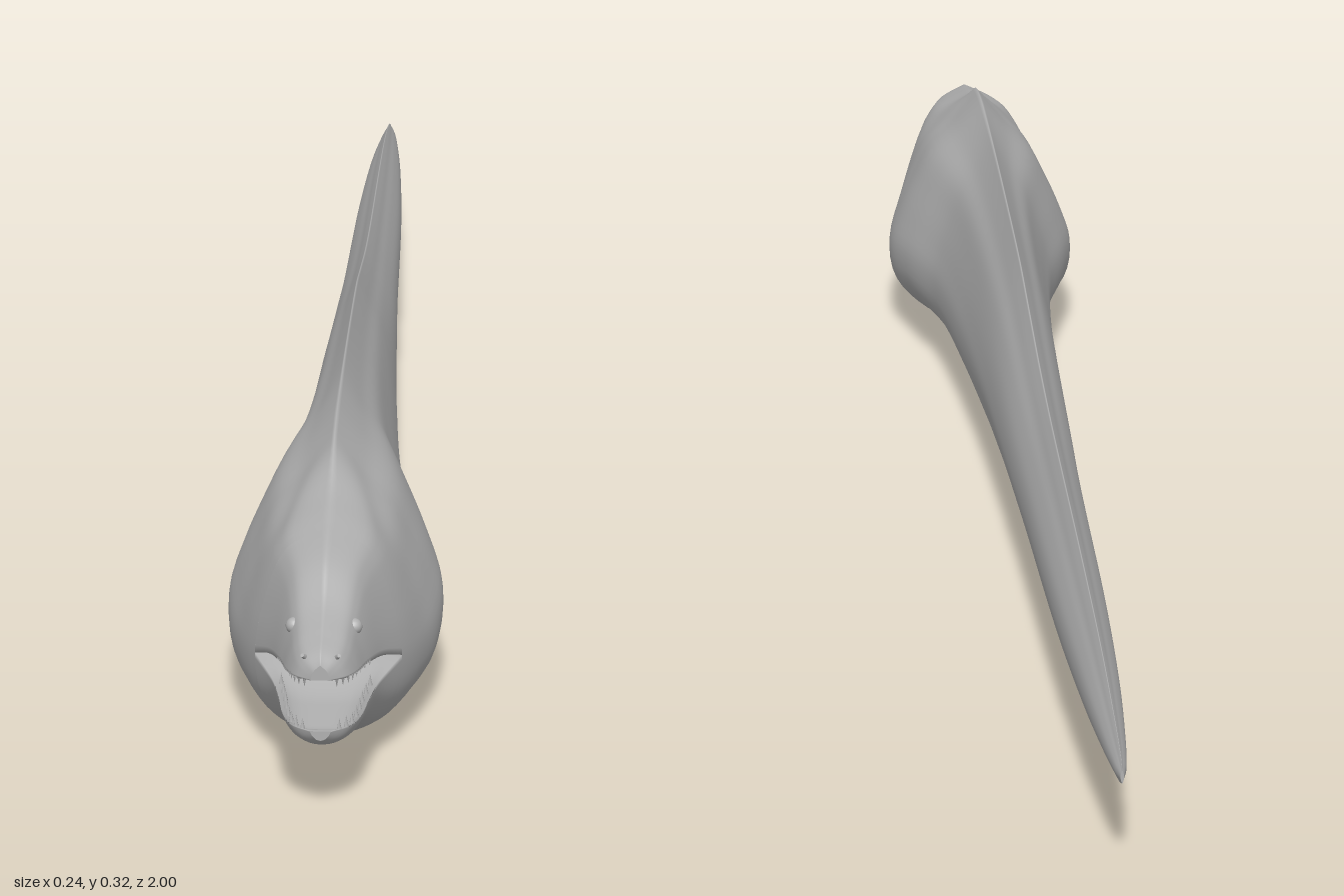
import * as THREE from 'three';

// Silhouette stations: z, belly height, back height, half width
const BODY = [
  [-1, .117, .133, .002], [-.985, .111, .143, .006], [-.93, .1, .158, .012], [-.8, .08, .183, .021],
  [-.6, .06, .205, .029], [-.3, .042, .23, .035], [-.15, .04, .249, .04], [0, .036, .277, .045],
  [.1, .035, .295, .049], [.3, .032, .313, .06], [.45, .03, .322, .076], [.55, .026, .325, .104],
  [.62, .009, .325, .118], [.69, .001, .315, .115], [.75, .011, .288, .102], [.8, .022, .276, .087],
  [.87, .055, .258, .06], [.92, .072, .225, .049], [.96, .083, .209, .043], [.985, .092, .2, .033],
  [1, .103, .189, .014],
];
// Mouth opening: z, lower lip height, upper lip height
const MOUTH = [[.82, .125, .125], [.86, .12, .142], [.9, .118, .153], [.95, .116, .163], [1, .114, .172]];

// Relative widths of a cross-section, from belly to back
const T = [0, .02, .09, .21, .36, .5, .64, .77, .86, .93, 1];
const TRUNK = [0, .25, .64, .94, 1, .89, .73, .55, .31, .15, 0];
const HEAD = [0, .35, .7, .93, 1, .97, .88, .76, .64, .45, 0];
const TAIL = [0, .16, .32, .62, .93, 1, .9, .62, .36, .19, 0];

// Smooth interpolation of column k of a table at z
function sample(table, z, k) {
  const n = table.length;
  let i = 0;
  while (i < n - 2 && z > table[i + 1][0]) i++;
  const slope = (j) => {
    const a = table[Math.max(j - 1, 0)], b = table[Math.min(j + 1, n - 1)];
    return (b[k] - a[k]) / (b[0] - a[0]);
  };
  const p = table[i], q = table[i + 1], h = q[0] - p[0], s = (z - p[0]) / h;
  const s2 = s * s, s3 = s2 * s;
  return (2 * s3 - 3 * s2 + 1) * p[k] + (s3 - 2 * s2 + s) * h * slope(i)
    + (3 * s2 - 2 * s3) * q[k] + (s3 - s2) * h * slope(i + 1);
}

// Half outline at z as a curve from belly to back
function outline(z) {
  const [lo, hi, w] = [1, 2, 3].map((k) => sample(BODY, z, k));
  const head = THREE.MathUtils.smoothstep(z, .66, .82);
  const tail = 1 - THREE.MathUtils.smoothstep(z, -.4, .4);
  return new THREE.SplineCurve(T.map((t, i) => new THREE.Vector2(
    w * (TRUNK[i] + (HEAD[i] - TRUNK[i]) * head + (TAIL[i] - TRUNK[i]) * tail),
    lo + (hi - lo) * t)));
}

// Curve parameter at which the outline reaches height y
function findHeight(curve, y) {
  let a = 0, b = 1;
  for (let i = 0; i < 24; i++) {
    const m = (a + b) / 2;
    if (curve.getPoint(m).y < y) a = m; else b = m;
  }
  return a;
}

function lip(z, upper) {
  const curve = outline(z);
  return curve.getPoint(findHeight(curve, sample(MOUTH, z, upper ? 2 : 1)));
}

function arc(curve, u0, u1, n) {
  return Array.from({ length: n + 1 }, (_, i) => curve.getPoint(u0 + (u1 - u0) * i / n));
}

// Half section of a jaw: outer skin plus a hollowed mouth surface
function jawSection(z, upper) {
  const curve = outline(z), edge = lip(z, upper);
  const u = findHeight(curve, edge.y);
  const hollow = .016 * THREE.MathUtils.smoothstep(z, .82, .9) * (1 - THREE.MathUtils.smoothstep(z, .96, 1));
  const inner = [];
  for (let i = 0; i < 6; i++) {
    const s = i / 6;
    inner.push(new THREE.Vector2(edge.x * s, edge.y + (upper ? 1 : -1) * hollow * (1 - s ** 4)));
  }
  return upper ? [...inner, ...arc(curve, u, 1, 24)] : [...arc(curve, 0, u, 24), ...inner.reverse()];
}

// Skin over mirrored half sections, with closed ends
function loft(zs, section) {
  const pos = [], index = [];
  let n = 0;
  const rings = zs.map((z) => {
    const half = section(z);
    const other = half.slice(1, -1).reverse().map((p) => new THREE.Vector2(-p.x, p.y));
    const ring = [...half, ...other].map((p) => [p.x, p.y, z]);
    n = ring.length;
    ring.forEach((p) => pos.push(...p));
    return ring;
  });
  for (let i = 0; i < zs.length - 1; i++) {
    for (let j = 0; j < n; j++) {
      const a = i * n + j, b = i * n + (j + 1) % n;
      index.push(a, b, a + n, b, b + n, a + n);
    }
  }
  [rings[0], rings[rings.length - 1]].forEach((ring, end) => {
    const base = pos.length / 3;
    ring.forEach((p) => pos.push(...p));
    const ys = ring.map((p) => p[1]);
    pos.push(0, (Math.min(...ys) + Math.max(...ys)) / 2, ring[0][2]);
    for (let j = 0; j < n; j++) {
      const a = base + j, b = base + (j + 1) % n;
      index.push(base + n, end ? a : b, end ? b : a);
    }
  });
  const geo = new THREE.BufferGeometry();
  geo.setAttribute('position', new THREE.Float32BufferAttribute(pos, 3));
  geo.setIndex(index);
  geo.computeVertexNormals();
  return geo;
}

const range = (a, b, n, ease = (s) => s) => Array.from({ length: n + 1 }, (_, i) => a + (b - a) * ease(i / n));

export function createModel() {
  const model = new THREE.Group();
  model.name = 'eel';
  const skin = new THREE.MeshStandardMaterial({ color: 0xb0b0b0 });
  skin.name = 'grey skin';
  const add = (name, geo, parent = model) => {
    const mesh = new THREE.Mesh(geo, skin);
    mesh.name = name;
    parent.add(mesh);
    return mesh;
  };

  // Trunk and tail with the fin ridge
  add('body', loft(range(-1, .82, 130), (z) => arc(outline(z), 0, 1, 40)));

  // Jaws, with closer sections toward the snout tip
  const jawZ = range(.82, 1, 28, (s) => 1 - (1 - s) ** 1.5);
  add('upperJaw', loft(jawZ, (z) => jawSection(z, true)));
  add('lowerJaw', loft(jawZ, (z) => jawSection(z, false)));

  // Rows of small pointed teeth along both lips
  const teeth = new THREE.Group();
  teeth.name = 'teeth';
  model.add(teeth);
  const toothGeo = new THREE.ConeGeometry(.0028, .013, 6);
  for (const upper of [true, false]) {
    for (const z of [.885, .905, .925, .943, .96, .974, .985, .992]) {
      const edge = lip(z, upper);
      for (const side of [1, -1]) {
        const tooth = add(upper ? 'upperTooth' : 'lowerTooth', toothGeo, teeth);
        tooth.position.set(side * edge.x * .86, edge.y + (upper ? -.004 : .004), z - .003);
        if (upper) tooth.rotation.z = Math.PI;
      }
    }
  }

  // Eyes and nostrils set into the snout
  const eyeGeo = new THREE.SphereGeometry(.009, 16, 12);
  const nostrilGeo = new THREE.CylinderGeometry(.002, .0035, .012, 10);
  for (const side of [1, -1]) {
    const curve = outline(.915), p = curve.getPoint(findHeight(curve, .198));
    const eye = add('eye', eyeGeo);
    eye.position.set(side * (p.x - .004), p.y, .915);
    const nostril = add('nostril', nostrilGeo);
    nostril.position.set(side * .017, .192, .984);
    nostril.rotation.set(.9, 0, -side * .4);
  }
  return model;
}
